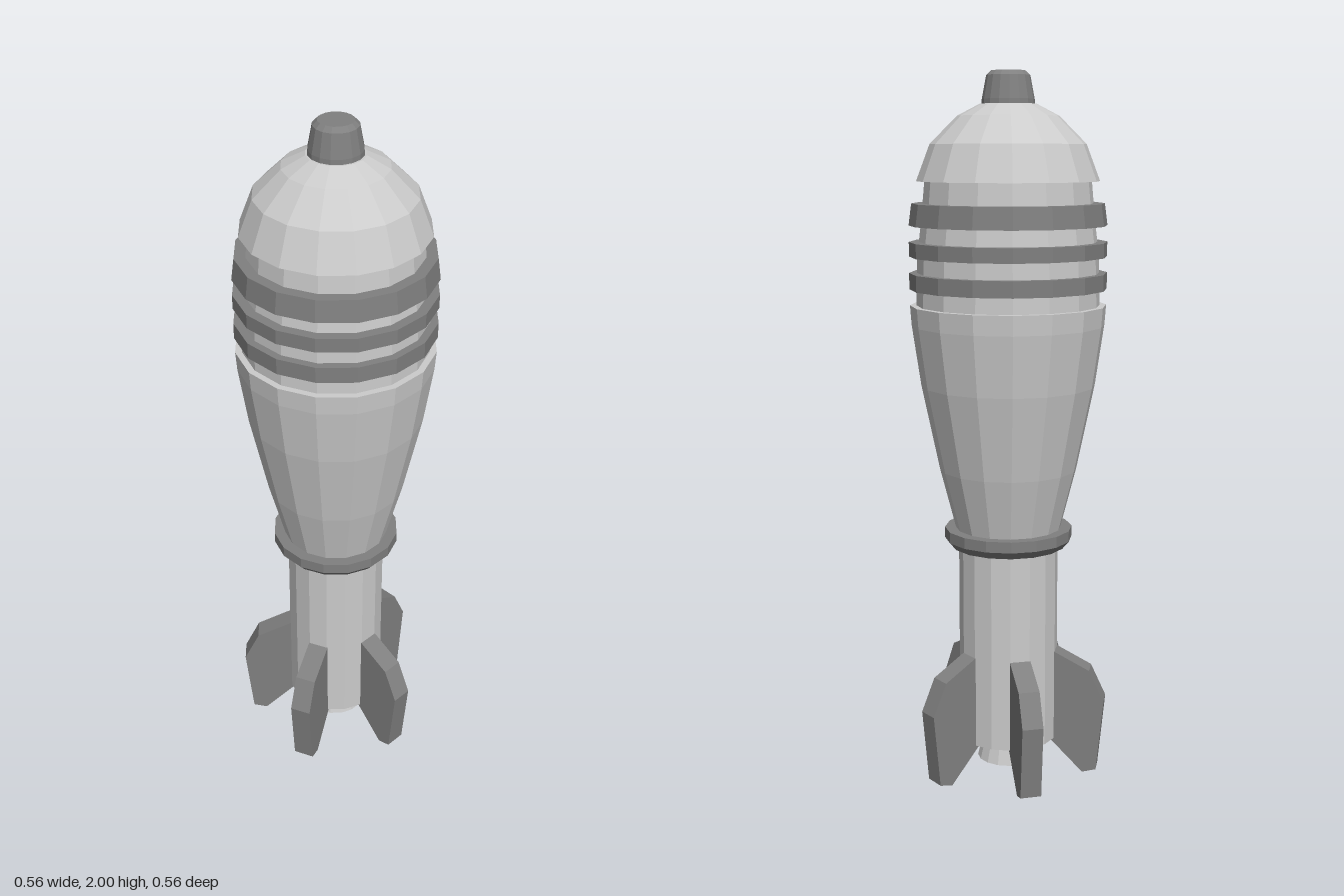
import * as THREE from 'three';

const SIDES = 16;

export function createModel() {
  const model = new THREE.Group();
  model.name = 'mortarShell';
  // The five fins are spaced unevenly, so the axis sits slightly off centre
  const shell = new THREE.Group();
  shell.name = 'shell';
  shell.position.set(0.004, 0, -0.004);
  model.add(shell);

  const light = new THREE.MeshStandardMaterial({ color: 0xcccccc, flatShading: true });
  const dark = new THREE.MeshStandardMaterial({ color: 0x808080, flatShading: true });

  function add(name, geometry, material) {
    const mesh = new THREE.Mesh(geometry, material);
    mesh.name = name;
    shell.add(mesh);
    return mesh;
  }

  // Faceted turned part; profile is [radius, height] from bottom to top
  function turned(name, profile, material) {
    const points = profile.map(([r, y]) => new THREE.Vector2(r, y));
    return add(name, new THREE.LatheGeometry(points, SIDES), material);
  }

  // Tail
  turned('tailPlug', [[0, 0.03], [0.09, 0.03], [0.07, 0.11]], light);
  turned('tailTube', [[0, 0.1], [0.142, 0.1], [0.142, 0.7]], light);
  turned('collar', [[0.13, 0.675], [0.163, 0.675], [0.182, 0.697], [0.182, 0.728], [0.14, 0.728]], dark);

  // Body
  turned('body', [[0.15, 0.725], [0.195, 0.9], [0.245, 1.14], [0.27, 1.31], [0.274, 1.365], [0.24, 1.365]], light);
  turned('core', [[0.256, 1.36], [0.252, 1.5], [0.24, 1.6], [0.23, 1.71]], light);

  // Driving bands: bottom height, top height, top radius
  const bands = [[1.41, 1.455, 0.275], [1.5, 1.54, 0.275], [1.585, 1.645, 0.267]];
  bands.forEach(([y0, y1, top], i) => {
    turned(`band${i + 1}`, [[0.22, y0], [0.275, y0], [top, y1], [0.22, y1]], dark);
  });

  // Dome and nose
  turned('dome', [[0.2, 1.705], [0.253, 1.705], [0.215, 1.805], [0.14, 1.88], [0.078, 1.912], [0.05, 1.912]], light);
  turned('nose', [[0.073, 1.905], [0.072, 1.925], [0.06, 1.988], [0.047, 2], [0, 2]], dark);

  // Fins: every third face of the tube
  const outline = [[0.12, 0.105], [0.222, 0], [0.262, 0.01], [0.283, 0.22], [0.24, 0.312], [0.139, 0.365], [0.12, 0.365]];
  const shape = new THREE.Shape(outline.map(([x, y]) => new THREE.Vector2(x, y)));
  const fin = new THREE.ExtrudeGeometry(shape, { depth: 0.06, bevelEnabled: false });
  fin.translate(0, 0, -0.03);
  for (let i = 0; i < 5; i++) {
    const angle = THREE.MathUtils.degToRad(33.75 + 67.5 * i);
    add(`fin${i + 1}`, fin, dark).rotation.y = -angle;
  }

  return model;
}
